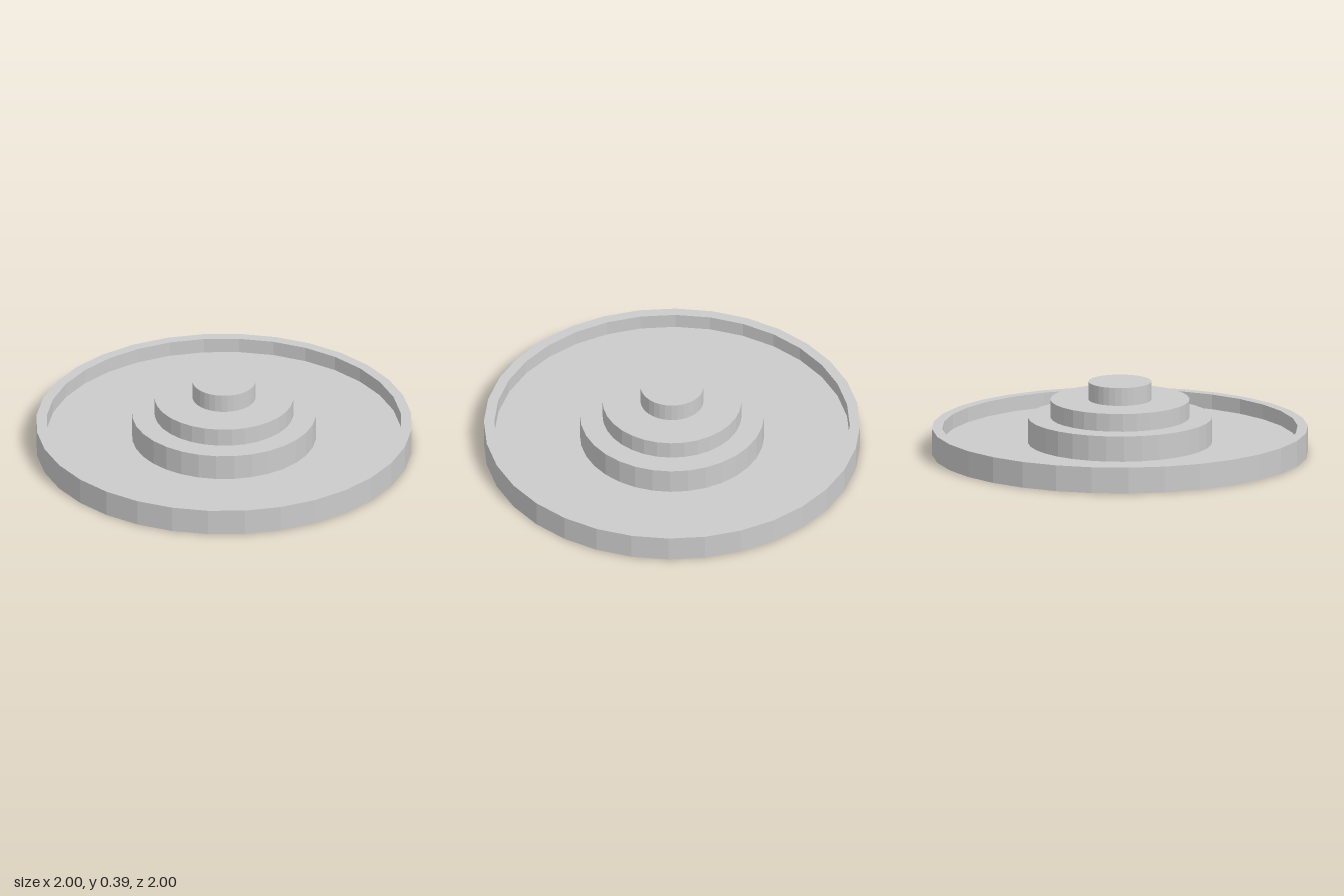
import * as THREE from 'three';

const SIDES = 32;
const FLOOR = 0.06;

export function createModel() {
  const group = new THREE.Group();
  const material = new THREE.MeshStandardMaterial({ color: 0xcccccc, flatShading: true });

  const add = (name, geometry, y = 0) => {
    const mesh = new THREE.Mesh(geometry, material);
    mesh.name = name;
    mesh.position.y = y;
    group.add(mesh);
  };

  // Shallow dish: flat underside, outer wall, rim, inner wall, floor
  const profile = [[0, 0], [1, 0], [1, 0.14], [0.945, 0.14], [0.945, FLOOR], [0, FLOOR]]
    .map(([r, y]) => new THREE.Vector2(r, y));
  add('dish', new THREE.LatheGeometry(profile, SIDES));

  // Stepped centre: each tier stands on the one below
  const tiers = [
    ['lowerTier', 0.49, 0.197],
    ['middleTier', 0.37, 0.293],
    ['topTier', 0.168, 0.39],
  ];
  let base = FLOOR;
  for (const [name, radius, top] of tiers) {
    const height = top - base;
    add(name, new THREE.CylinderGeometry(radius, radius, height, SIDES), base + height / 2);
    base = top;
  }

  return group;
}
